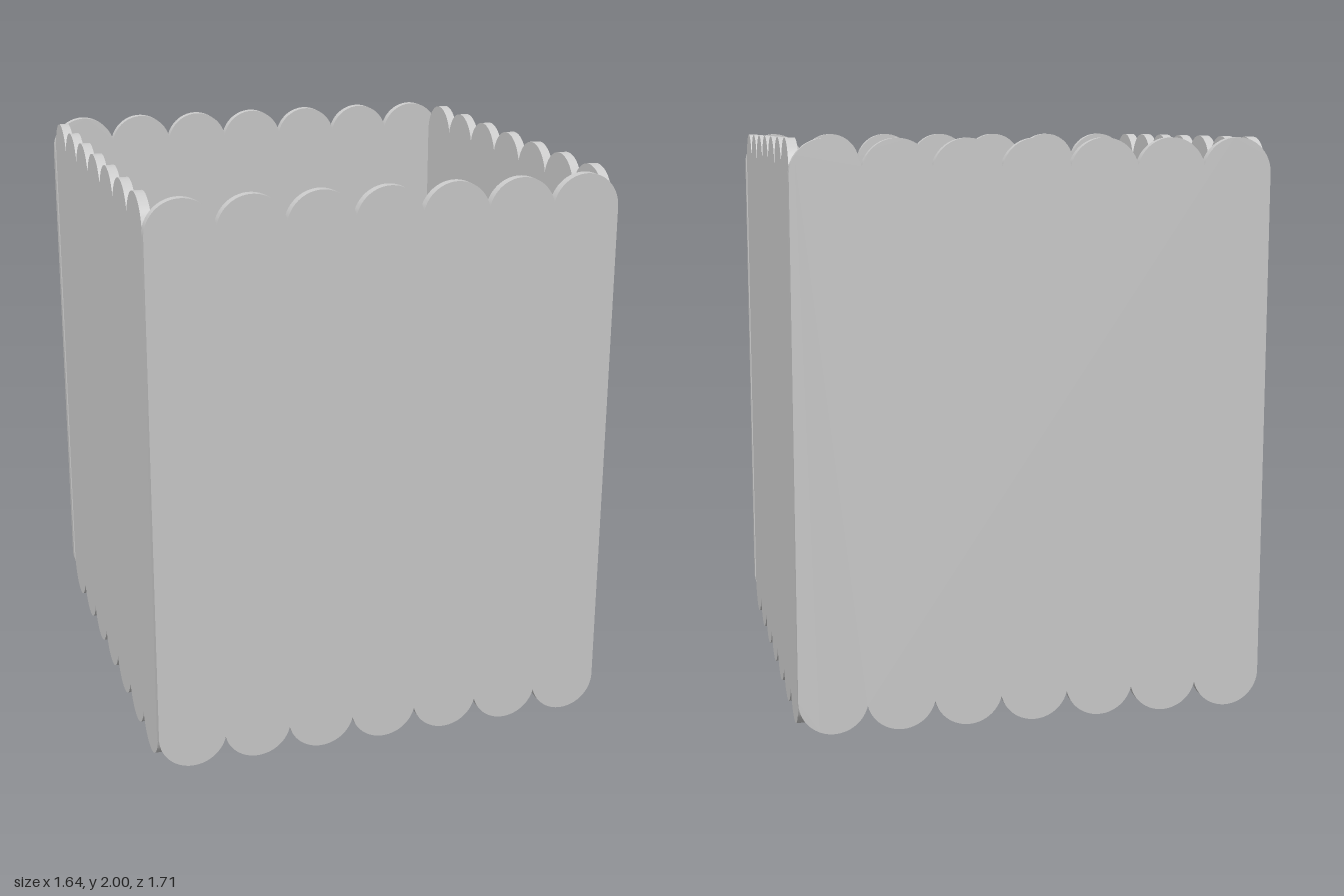
import * as THREE from 'three';
import { toCreasedNormals } from 'three/addons/utils/BufferGeometryUtils.js';

const SLATS = 7, PITCH = 0.2333, R = 0.12, HEIGHT = 2, T = 0.034;

// Outline of round-ended slats merged side by side
function panelGeometry() {
  const shape = new THREE.Shape();
  const cusp = Math.acos(PITCH / 2 / R); // angle where neighbouring ends meet
  const mid = (SLATS - 1) / 2;
  // bottom ends, left to right
  for (let i = 0; i < SLATS; i++) {
    const start = i === 0 ? Math.PI : Math.PI + cusp;
    const end = i === SLATS - 1 ? 2 * Math.PI : 2 * Math.PI - cusp;
    shape.absarc((i - mid) * PITCH, R, R, start, end, false);
  }
  // top ends, right to left
  for (let i = SLATS - 1; i >= 0; i--) {
    const start = i === SLATS - 1 ? 0 : cusp;
    const end = i === 0 ? Math.PI : Math.PI - cusp;
    shape.absarc((i - mid) * PITCH, HEIGHT - R, R, start, end, false);
  }
  shape.closePath();
  const geo = new THREE.ExtrudeGeometry(shape, { depth: T, bevelEnabled: false, curveSegments: 20 });
  geo.translate(0, 0, -T / 2);
  return toCreasedNormals(geo, 0.5);
}

export function createModel() {
  const group = new THREE.Group();
  const material = new THREE.MeshStandardMaterial({ color: 0xcccccc });
  const panel = panelGeometry();

  // Four scalloped walls; the front and back cover the side walls' ends
  const zWall = 0.84, xWall = 0.799;
  const walls = [
    ['frontWall', 0, zWall, 0],
    ['backWall', 0, -zWall, Math.PI],
    ['leftWall', xWall, 0, Math.PI / 2],
    ['rightWall', -xWall, 0, -Math.PI / 2],
  ];
  for (const [name, x, z, turn] of walls) {
    const wall = new THREE.Mesh(panel, material);
    wall.name = name;
    wall.position.set(x, 0, z);
    wall.rotation.y = turn;
    group.add(wall);
  }

  // Floor set between the walls, above the lower scallops
  const floor = new THREE.Mesh(new THREE.BoxGeometry(2 * xWall - T, T, 2 * zWall - T), material);
  floor.name = 'floor';
  floor.position.y = 0.125 + T / 2;
  group.add(floor);

  return group;
}
